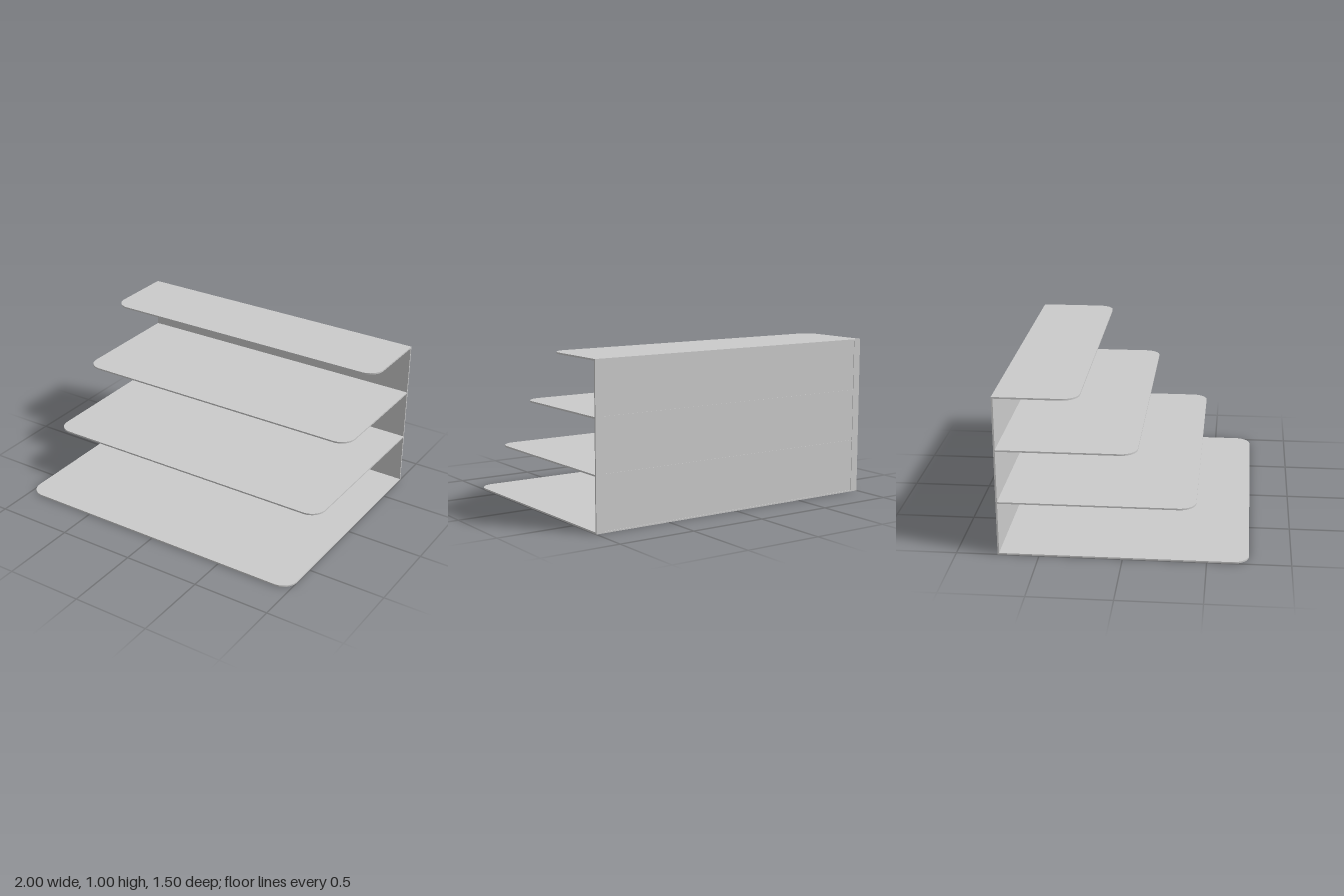
import * as THREE from 'three';

const material = new THREE.MeshStandardMaterial({ color: 0xcccccc });
const BACK = -0.75;
const POST = 0.05;

// Outline in plan with the two front corners rounded (shape y = -z)
function outline(path, halfWidth, back, front, radius) {
  path.moveTo(-halfWidth, -back);
  path.lineTo(-halfWidth, -(front - radius));
  path.absarc(-halfWidth + radius, -(front - radius), radius, Math.PI, Math.PI * 1.5, false);
  path.lineTo(halfWidth - radius, -front);
  path.absarc(halfWidth - radius, -(front - radius), radius, Math.PI * 1.5, Math.PI * 2, false);
  path.lineTo(halfWidth, -back);
  path.closePath();
  return path;
}

function slab(shape, height, y, name) {
  const geometry = new THREE.ExtrudeGeometry(shape, { depth: height, bevelEnabled: false, curveSegments: 12 });
  geometry.rotateX(-Math.PI / 2);
  const mesh = new THREE.Mesh(geometry, material);
  mesh.position.y = y;
  mesh.name = name;
  return mesh;
}

function box(name, w, h, d, x, y, z) {
  const mesh = new THREE.Mesh(new THREE.BoxGeometry(w, h, d), material);
  mesh.position.set(x, y, z);
  mesh.name = name;
  return mesh;
}

// Thin shelf with a shallow rim around its underside
function createShelf(name, y, back, front) {
  const shelf = new THREE.Group();
  shelf.name = name;
  shelf.add(slab(outline(new THREE.Shape(), 1, back, front, 0.1), 0.007, y + 0.003, 'shelfBoard'));
  const rim = outline(new THREE.Shape(), 1, back, front, 0.1);
  rim.holes.push(outline(new THREE.Path(), 0.97, back + 0.01, front - 0.03, 0.07));
  shelf.add(slab(rim, 0.003, y, 'shelfRim'));
  return shelf;
}

export function createModel() {
  const model = new THREE.Group();
  model.name = 'steppedShelf';

  // Four shelves, each shorter than the one below
  const heights = [0, 0.333, 0.663, 0.99];
  const fronts = [0.75, 0.43, 0.085, -0.25];
  const names = ['bottomShelf', 'lowerShelf', 'upperShelf', 'topShelf'];
  heights.forEach((y, i) => {
    const back = i === 0 || i === 3 ? BACK : BACK + 0.001;
    model.add(createShelf(names[i], y, back, fronts[i]));
  });

  // Back panels between the shelves
  for (let i = 0; i < 3; i++) {
    const low = heights[i] + 0.01;
    const high = heights[i + 1];
    model.add(box('backPanel', 2 - POST * 2, high - low, 0.006, 0, (low + high) / 2, BACK + 0.006));
  }

  // Posts at the back corners
  for (const side of [-1, 1]) {
    const name = side > 0 ? 'leftPost' : 'rightPost';
    model.add(box(name, POST, 0.98, 0.01, side * (1 - POST / 2), 0.5, BACK + 0.005));
  }

  return model;
}
